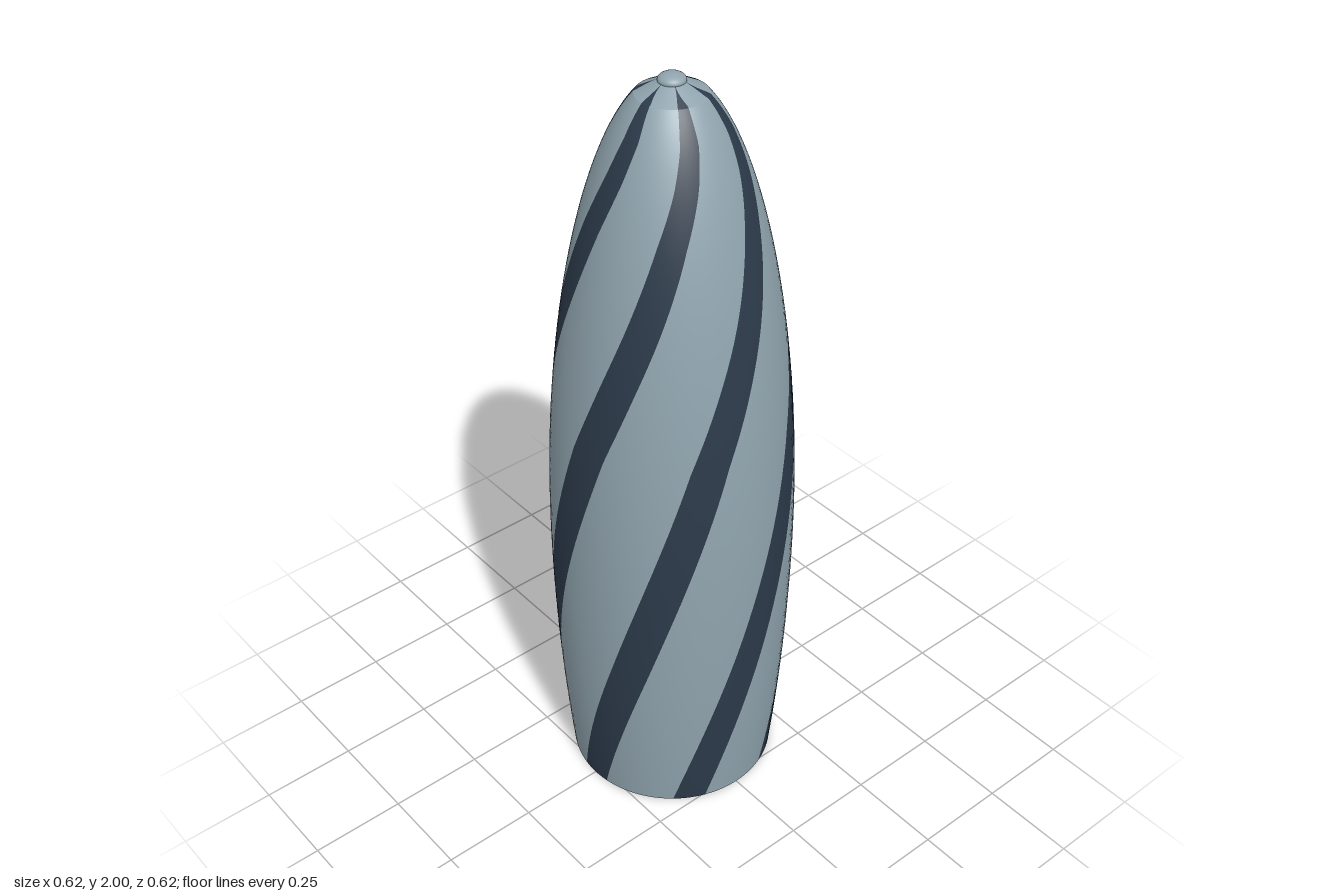
import * as THREE from 'three';

const STRIPES = 6;
const RAD = Math.PI / 180;

// Piecewise linear lookup in a short list of [height, value] pairs
function lookup(table, y) {
  let i = 1;
  while (i < table.length - 1 && y > table[i][0]) i++;
  const [y0, v0] = table[i - 1], [y1, v1] = table[i];
  return v0 + (v1 - v0) * (y - y0) / (y1 - y0);
}

// Angle of the stripe centre and stripe width, in degrees, by height
const TWIST = [[0, 120], [0.49, 90], [1.13, 52], [1.33, 37], [1.47, 26], [1.68, 10],
  [1.8, -1], [1.885, -7], [1.955, -7], [1.985, -2]];
const WIDTH = [[0, 18.5], [1.9, 18.5], [1.957, 16], [1.974, 5], [1.985, 0]];

// Tower outline: gently swelling base, elliptical nose
const bodyRadius = (y) => y < 0.75
  ? 0.31 - 0.038 * ((0.75 - y) / 0.75) ** 2
  : 0.31 * Math.sqrt(1 - ((y - 0.75) / 1.25) ** 2);

const CAP_Y = 1.953, CAP_TOP = 1.985;
const capRadius = (y) =>
  THREE.MathUtils.mapLinear(y, CAP_Y, CAP_TOP, bodyRadius(CAP_Y), 0.025);

// One spiralling strip between two angle rules, with smooth normals
function strip(radius, heights, from, to, columns) {
  const pos = [], nor = [], index = [];
  heights.forEach((y, i) => {
    const r = radius(y), e = 0.001;
    const slope = (radius(y + e) - radius(y - e)) / (2 * e);
    const a0 = from(y), a1 = to(y);
    for (let j = 0; j <= columns; j++) {
      const a = (a0 + (a1 - a0) * j / columns) * RAD;
      const n = new THREE.Vector3(Math.cos(a), -slope, Math.sin(a)).normalize();
      pos.push(r * Math.cos(a), y, r * Math.sin(a));
      nor.push(n.x, n.y, n.z);
      if (i > 0 && j < columns) {
        const c = i * (columns + 1) + j, b = c - columns - 1;
        index.push(b, c, b + 1, c, c + 1, b + 1);
      }
    }
  });
  const g = new THREE.BufferGeometry();
  g.setAttribute('position', new THREE.Float32BufferAttribute(pos, 3));
  g.setAttribute('normal', new THREE.Float32BufferAttribute(nor, 3));
  g.setIndex(index);
  return g;
}

export function createModel() {
  const model = new THREE.Group();
  model.name = 'tower';
  const glass = new THREE.MeshStandardMaterial({ color: 0x90a4ae, side: THREE.DoubleSide });
  glass.name = 'pale glass';
  const dark = new THREE.MeshStandardMaterial({ color: 0x2c3a4a, side: THREE.DoubleSide });
  dark.name = 'dark glass';

  const add = (name, geometry, material) => {
    const mesh = new THREE.Mesh(geometry, material);
    mesh.name = name;
    model.add(mesh);
    return mesh;
  };

  // Rows get closer together towards the nose
  const bodyRows = Array.from({ length: 65 }, (_, i) => CAP_Y * Math.sin(i / 64 * Math.PI / 2));
  const capRows = Array.from({ length: 9 }, (_, i) => CAP_Y + (CAP_TOP - CAP_Y) * i / 8);

  // Alternating dark stripes and pale panels around the shell and its shallow cap
  for (let k = 0; k < STRIPES; k++) {
    const step = 360 / STRIPES;
    const start = (y) => k * step + lookup(TWIST, y) - lookup(WIDTH, y) / 2;
    const end = (y) => start(y) + lookup(WIDTH, y);
    const next = (y) => start(y) + step;
    for (const [part, radius, rows] of [['body', bodyRadius, bodyRows], ['cap', capRadius, capRows]]) {
      add(part + 'Stripe', strip(radius, rows, start, end, 5), dark);
      add(part + 'Panel', strip(radius, rows, end, next, 12), glass);
    }
  }

  // Flattened finial on the tip
  const finial = add('finial', new THREE.SphereGeometry(0.033, 32, 16), glass);
  finial.scale.y = 0.5;
  finial.position.y = 2 - 0.0165;

  return model;
}
